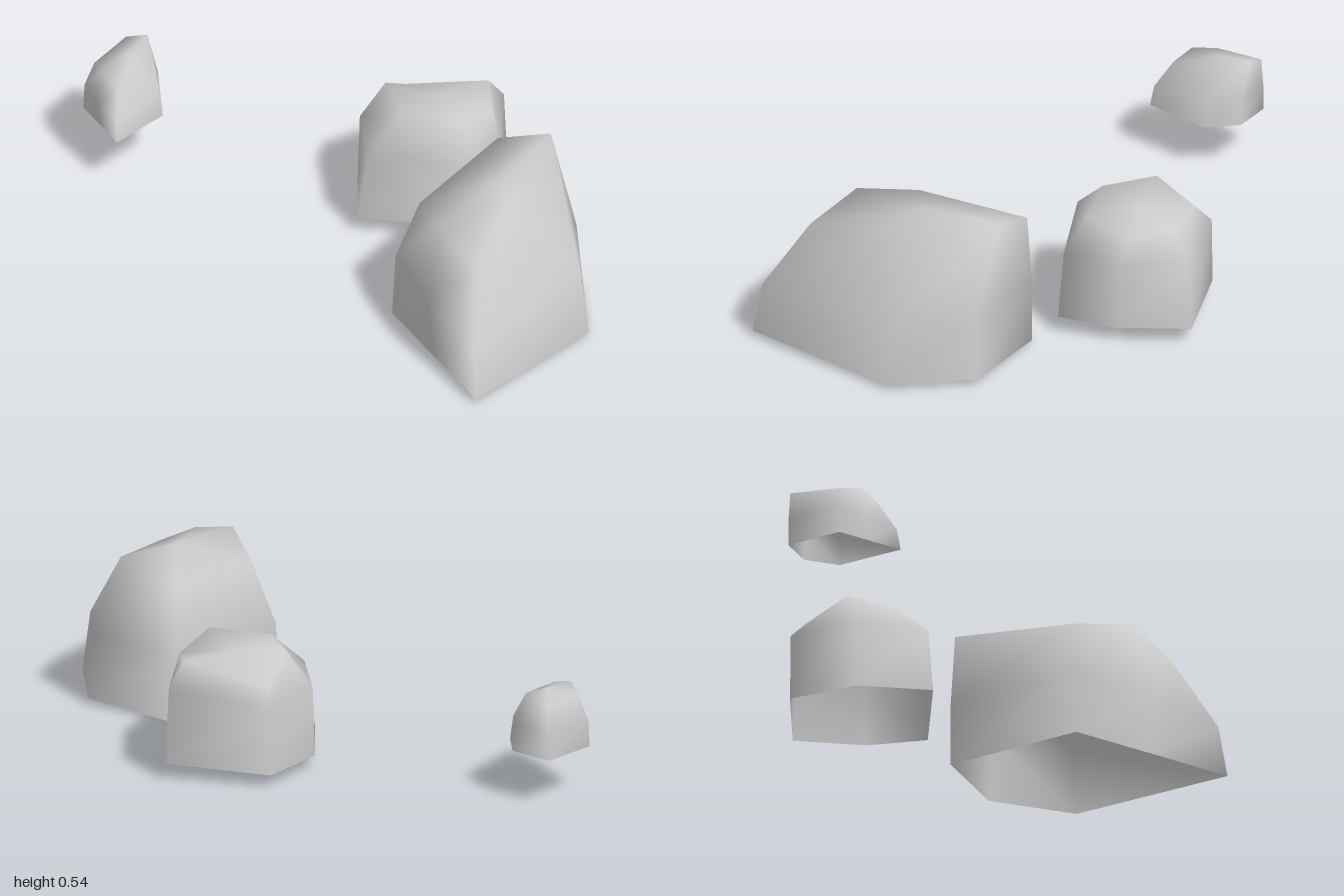
import * as THREE from 'three';

// Corner columns run counter-clockwise seen from above; each climbs base -> shoulder -> crown.
const WEDGE = {
  columns: [
    [[-0.57, 0.02, 0.99], [-0.55, 0.19, 0.965], [-0.43, 0.415, 0.865]],
    [[-0.01, 0.01, 0.985], [-0.01, 0.22, 0.95], [-0.14, 0.48, 0.755]],
    [[0.2, 0.02, 0.775], [0.185, 0.24, 0.76], [0.19, 0.54, 0.645]],
    [[0.15, 0, 0.435], [0.15, 0.22, 0.435], [0.145, 0.465, 0.455]],
    [[-0.33, 0, 0.415], [-0.325, 0.22, 0.425], [-0.28, 0.43, 0.49]],
    [[-0.45, 0.01, 0.7], [-0.46, 0.22, 0.68], [-0.395, 0.475, 0.67]],
  ],
  crown: [-0.1, 0.5, 0.66],
};
const BLOCK = {
  columns: [
    [[-0.03, 0.05, 0], [0, 0.28, 0.02], [0.13, 0.4, 0.05]],
    [[0.185, 0.06, 0.345], [0.18, 0.28, 0.31], [0.22, 0.403, 0.237]],
    [[0.37, 0.055, 0.275], [0.37, 0.27, 0.265], [0.385, 0.365, 0.22]],
    [[0.565, 0.055, 0.125], [0.55, 0.305, 0.125], [0.48, 0.39, 0.12]],
    [[0.4, 0.042, -0.185], [0.4, 0.27, -0.18], [0.36, 0.325, -0.14]],
    [[0.165, 0.042, -0.17], [0.17, 0.28, -0.165], [0.23, 0.405, -0.107]],
  ],
  crown: [0.3, 0.39, 0.06],
};

// Smooth boulder shell, open underneath
function rockGeometry({ columns, crown }) {
  const n = columns.length, levels = columns[0].length;
  const positions = [], index = [];
  for (let level = 0; level < levels; level++) {
    for (const column of columns) positions.push(...column[level]);
  }
  positions.push(...crown);
  for (let i = 0; i < n; i++) {
    const j = (i + 1) % n;
    for (let level = 0; level < levels - 1; level++) {
      const low = level * n, high = low + n;
      index.push(low + i, low + j, high + j, low + i, high + j, high + i);
    }
    const top = (levels - 1) * n;
    index.push(top + i, top + j, levels * n);
  }
  const geometry = new THREE.BufferGeometry();
  geometry.setAttribute('position', new THREE.Float32BufferAttribute(positions, 3));
  geometry.setIndex(index);
  geometry.computeVertexNormals();
  return geometry;
}

export function createModel() {
  const group = new THREE.Group();
  group.name = 'rocks';
  const stone = new THREE.MeshStandardMaterial({ color: 0xcccccc, side: THREE.DoubleSide });
  const addRock = (name, geometry) => {
    const rock = new THREE.Mesh(geometry, stone);
    rock.name = name;
    group.add(rock);
    return rock;
  };

  const wedge = rockGeometry(WEDGE);
  addRock('largeRock', wedge);
  addRock('mediumRock', rockGeometry(BLOCK));

  // The small rock is a reduced copy of the large one
  const small = addRock('smallRock', wedge);
  small.scale.setScalar(0.405);
  small.position.set(-0.11, 0.163, -1.167);
  return group;
}
